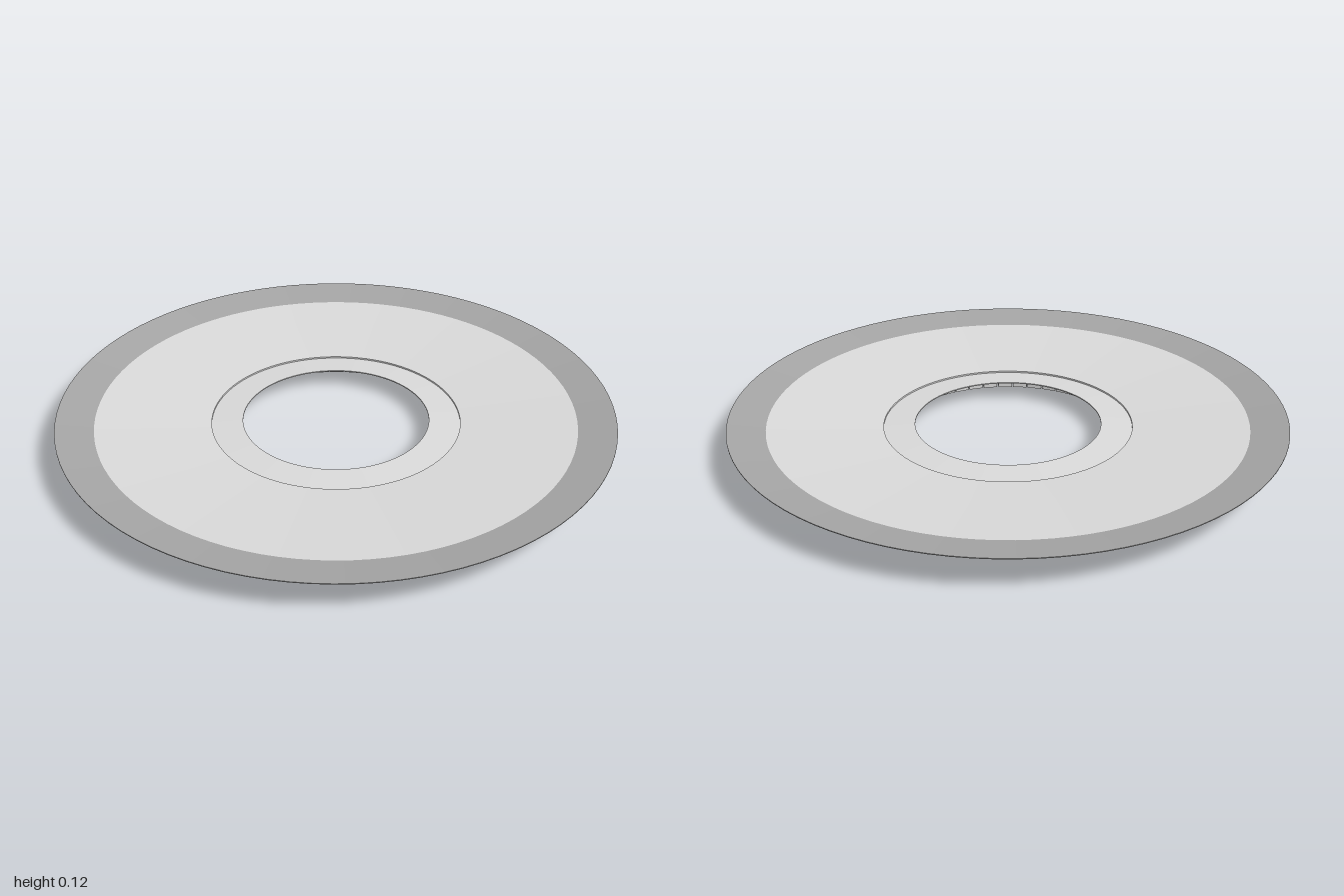
import * as THREE from 'three';
import { mergeGeometries } from 'three/addons/utils/BufferGeometryUtils.js';

// Surface of revolution from [radius, height] points, listed counterclockwise around the section
function ring(name, points, material) {
  const profile = points.map(([r, y]) => new THREE.Vector2(r, y));
  const mesh = new THREE.Mesh(new THREE.LatheGeometry(profile, 96), material);
  mesh.name = name;
  return mesh;
}

// Circle of wedge-shaped blocks with one radial section and narrow, even gaps between them
function blockCircle(section, count, gap) {
  const pitch = (2 * Math.PI) / count;
  const shape = new THREE.Shape(section.map(([r, y]) => new THREE.Vector2(r, y)));
  const block = new THREE.ExtrudeGeometry(shape, { depth: 1, bevelEnabled: false });
  const position = block.attributes.position;
  for (let i = 0; i < position.count; i++) {
    const width = 2 * Math.tan(pitch / 2) * position.getX(i) - gap;
    position.setZ(i, (position.getZ(i) - 0.5) * width);
  }
  block.computeVertexNormals();
  const blocks = [];
  for (let i = 0; i < count; i++) blocks.push(block.clone().rotateY((i + 0.5) * pitch));
  return mergeGeometries(blocks);
}

export function createModel() {
  const lightGrey = new THREE.MeshStandardMaterial({ color: 0xd8d8d8, side: THREE.DoubleSide });
  lightGrey.name = 'lightGrey';
  const midGrey = new THREE.MeshStandardMaterial({ color: 0xa4a4a4 });
  midGrey.name = 'midGrey';

  const model = new THREE.Group();
  model.name = 'dishedRing';

  // Outer rim: thin edge, sloping top, steeper underside and a small inner lip
  const rim = new THREE.Group();
  rim.name = 'rim';
  rim.add(
    ring('rimUnderside', [[0.868, 0.072], [1, 0.117]], midGrey),
    ring('rimEdge', [[1, 0.117], [1, 0.12]], midGrey),
    ring('rimTop', [[1, 0.12], [0.865, 0.098]], midGrey),
    ring('rimLip', [[0.865, 0.098], [0.868, 0.072]], lightGrey),
  );

  // Thin cover: shallow cone stepping down to a collar around the hole
  const cover = new THREE.Group();
  cover.name = 'cover';
  cover.add(
    ring('coverTop', [[0.865, 0.098], [0.45, 0.067]], lightGrey),
    ring('coverStep', [[0.45, 0.067], [0.45, 0.061]], lightGrey),
    ring('collarTop', [[0.45, 0.061], [0.337, 0.069]], lightGrey),
    ring('collarEdge', [[0.337, 0.069], [0.337, 0.065]], lightGrey),
  );

  // Convex underside made of blocks, each with a thin tongue under the collar
  const section = [
    [0.446, 0], [0.56, 0.016], [0.7, 0.04], [0.862, 0.076], [0.862, 0.09],
    [0.45, 0.058], [0.338, 0.067], [0.338, 0.065], [0.446, 0.056],
  ];
  const blocks = new THREE.Mesh(blockCircle(section, 48, 0.005), lightGrey);
  blocks.name = 'undersideBlocks';

  model.add(rim, cover, blocks);
  return model;
}
